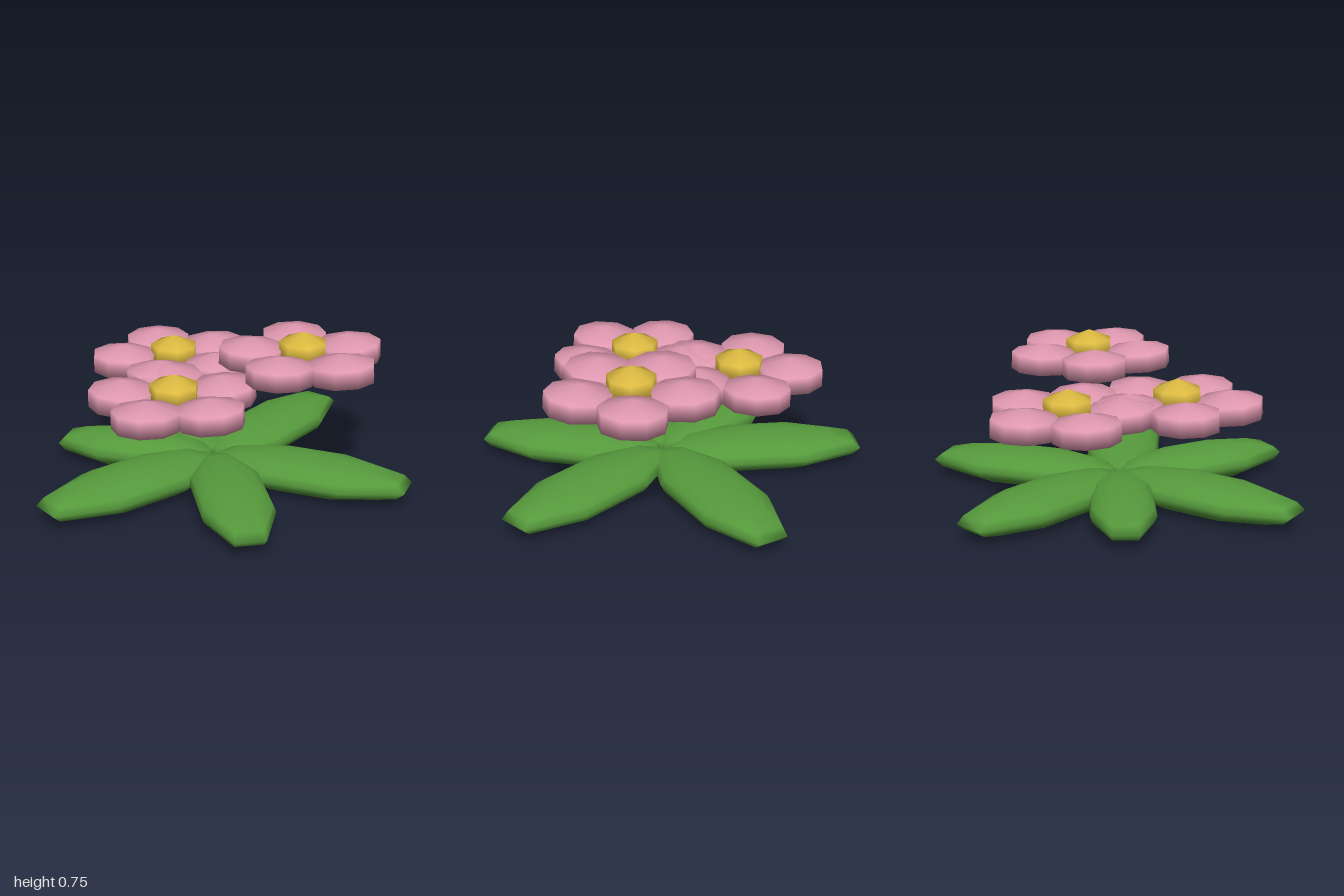
import * as THREE from 'three';

const RAD = Math.PI / 180;

export function createModel() {
  const model = new THREE.Group();
  model.name = 'flowerCluster';

  const material = (name, color) => {
    const m = new THREE.MeshStandardMaterial({ color });
    m.name = name;
    return m;
  };
  const leafGreen = material('leafGreen', 0x569a3c);
  const petalPink = material('petalPink', 0xdf98b0);
  const centreYellow = material('centreYellow', 0xdfbc42);

  // Long flattened leaf, blunt at both ends, lying along +x from the middle
  const leafGeo = new THREE.SphereGeometry(1, 8, 8);
  leafGeo.rotateY(22.5 * RAD);
  const petalGeo = new THREE.SphereGeometry(1, 9, 3);
  const centreGeo = new THREE.SphereGeometry(1, 7, 3);

  // Leaves: direction in degrees (from +x towards +z), length, half width
  const leaves = [
    [-4.5, 0.99, 0.2], [69.5, 1.0, 0.2], [128, 0.93, 0.19],
    [190, 1.0, 0.2], [244, 0.82, 0.17], [289.5, 1.0, 0.2],
  ];
  for (const [deg, length, halfWidth] of leaves) {
    const a = deg * RAD;
    const leaf = new THREE.Mesh(leafGeo, leafGreen);
    leaf.name = 'leaf';
    leaf.scale.set(length * 0.54, 0.09, halfWidth);
    leaf.position.set(Math.cos(a) * length / 2, 0.09, Math.sin(a) * length / 2);
    leaf.rotation.y = -a;
    model.add(leaf);
  }

  // Flower heads: x, height, z, turn of the petal ring
  const flowers = [
    [-0.305, 0.49, 0.015, 23],
    [0.1, 0.49, -0.37, 9],
    [0.305, 0.615, 0.31, 23],
  ];
  for (const [x, y, z, turn] of flowers) {
    const flower = new THREE.Group();
    flower.name = 'flower';
    flower.position.set(x, y, z);
    for (let i = 0; i < 5; i++) {
      const a = (turn + i * 72) * RAD;
      const petal = new THREE.Mesh(petalGeo, petalPink);
      petal.name = 'petal';
      petal.scale.set(0.189, 0.087, 0.189);
      petal.position.set(Math.cos(a) * 0.256, 0, Math.sin(a) * 0.256);
      petal.rotation.set(-0.03, -a, 0.05);
      flower.add(petal);
    }
    const centre = new THREE.Mesh(centreGeo, centreYellow);
    centre.name = 'flowerCentre';
    centre.scale.set(0.138, 0.1, 0.138);
    centre.position.y = 0.035;
    flower.add(centre);
    model.add(flower);
  }
  return model;
}
